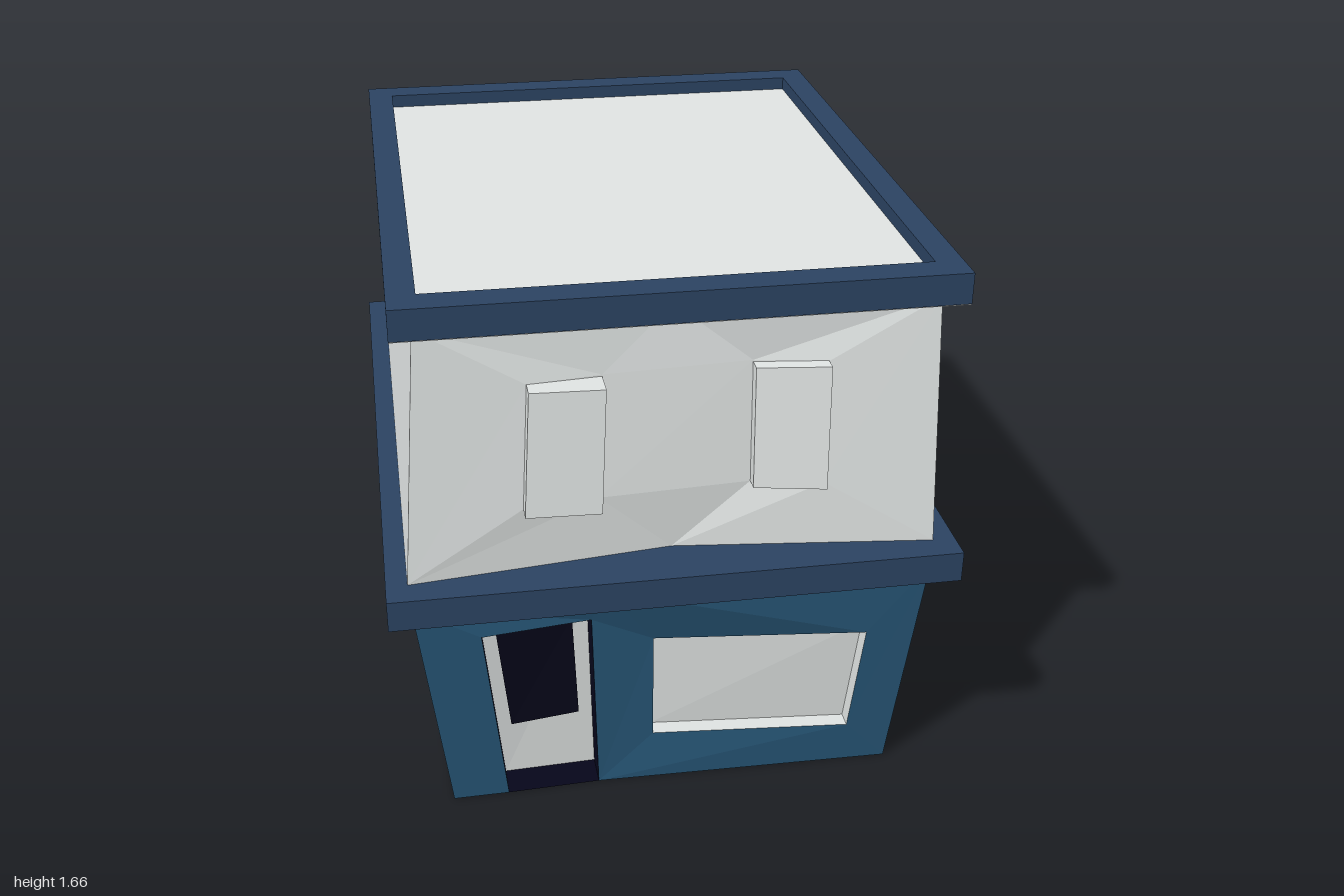
import * as THREE from 'three';

const paint = (color) => new THREE.MeshStandardMaterial({ color, flatShading: true, side: THREE.DoubleSide });

// Piecewise linear curve through [u, value] knots
function linear(knots) {
  return (u) => {
    for (let i = 1; i < knots.length; i++) {
      const [a, p] = knots[i - 1], [b, q] = knots[i];
      if (u <= b) return p + (q - p) * Math.max(0, (u - a) / (b - a));
    }
    return knots[knots.length - 1][1];
  };
}

// Maps (u, y, d) on each sloping wall to world space; u runs right, d outward.
// The front wall is its plane pressed in by dent(u, y).
function storey(y0, y1, low, high, dent) {
  const at = (side, y) => low[side] + (high[side] - low[side]) * (y - y0) / (y1 - y0);
  const plane = (u, y, d = 0) => [u, y, at('front', y) + d];
  return {
    plane,
    front: (u, y, d = 0) => plane(u, y, d - dent(u, y)),
    back: (u, y, d = 0) => [-u, y, -at('back', y) - d],
    right: (u, y, d = 0) => [at('right', y) + d, y, -u],
    left: (u, y, d = 0) => [-at('left', y) - d, y, u],
  };
}

const offset = (map, d) => (u, y) => map(u, y, d);
const vectors = (list) => list.map(([x, y]) => new THREE.Vector2(x, y));

// Polygon with optional holes, laid on a wall.
function panel(pts, map, holes = []) {
  const shape = new THREE.Shape(vectors(pts));
  holes.forEach((h) => shape.holes.push(new THREE.Path(vectors(h))));
  const geo = new THREE.ShapeGeometry(shape);
  const pos = geo.attributes.position;
  for (let i = 0; i < pos.count; i++) pos.setXYZ(i, ...map(pos.getX(i), pos.getY(i)));
  geo.computeVertexNormals();
  return geo;
}

const quad = (a, b, c, d) => [a, b, c, a, c, d];

function triangles(list) {
  const geo = new THREE.BufferGeometry();
  geo.setAttribute('position', new THREE.Float32BufferAttribute(list.flat(), 3));
  geo.computeVertexNormals();
  return geo;
}

// Band joining an outline on the wall to the same outline on another surface.
function reveal(pts, map, cap) {
  return triangles(pts.flatMap((p, i) => {
    const q = pts[(i + 1) % pts.length];
    return quad(map(...p), map(...q), cap(...q), cap(...p));
  }));
}

export function createModel() {
  const model = new THREE.Group();
  const grey = paint(0xe0e4e3), blue = paint(0x285879), navy = paint(0x2b4362), dark = paint(0x06061a);
  const add = (name, geo, mat, parent = model) => {
    const mesh = new THREE.Mesh(geo, mat);
    mesh.name = name;
    parent.add(mesh);
    return mesh;
  };
  // Recess or raised block between a wall and its cap surface
  const inset = (name, pts, map, cap, sideMat = grey) => {
    const g = new THREE.Group();
    g.name = name;
    add(name + 'Sides', reveal(pts, map, cap), sideMat, g);
    add(name + 'Face', panel(pts, cap), grey, g);
    model.add(g);
  };

  // Ground floor, flaring outward towards the top
  const lowerDent = linear([[-0.55, 0], [-0.21, 0.035], [-0.05, 0.055], [0.56, 0]]);
  const lower = storey(0, 0.75,
    { front: 0.83, back: 0.83, right: 0.68, left: 0.65 },
    { front: 0.92, back: 0.92, right: 0.74, left: 0.74 },
    (u, y) => lowerDent(u) * (0.4 + 0.9 * y));
  const door = [[-0.485, 0], [-0.21, 0], [-0.235, 0.635], [-0.55, 0.63]];
  const shopWindow = [[-0.045, 0.165], [0.55, 0.145], [0.575, 0.515], [-0.05, 0.53]];
  const sideWindows = [
    [[-0.645, 0.145], [-0.04, 0.15], [-0.045, 0.51], [-0.685, 0.515]],
    [[0.05, 0.145], [0.655, 0.145], [0.695, 0.515], [0.05, 0.515]],
  ];
  const g = lower.front;
  const [d0, d1, d2, d3] = door.map((p) => g(...p));
  const [p0, p1, p2, p3] = shopWindow.map((p) => g(...p));
  const a = g(-0.65, 0), b = g(0.68, 0), c = g(0.74, 0.75), t = g(-0.2, 0.75, 0.03), l = g(-0.74, 0.75);
  add('lowerFrontWall', triangles([
    quad(a, d0, d3, l), quad(l, d3, d2, t), quad(d1, p0, p3, d2), [d2, p3, t],
    quad(t, p3, p2, c), quad(p1, b, c, p2), quad(d1, b, p1, p0),
  ].flat()), blue);
  const sideOutline = [[-0.83, 0], [0.83, 0], [0.92, 0.75], [-0.92, 0.75]];
  add('lowerRightWall', panel(sideOutline, lower.right, sideWindows), blue);
  add('lowerLeftWall', panel(sideOutline, lower.left), blue);
  add('lowerBackWall', panel([[-0.68, 0], [0.65, 0], [0.74, 0.75], [-0.74, 0.75]], lower.back), blue);
  const baseFront = [b, d1, d0, a].map(([x, , z]) => [x, z]);
  const baseShape = new THREE.Shape(vectors([[-0.65, -0.83], [0.68, -0.83], ...baseFront]));
  add('base', new THREE.ShapeGeometry(baseShape), dark).rotation.x = Math.PI / 2;

  // Recessed windows and door
  inset('shopWindow', shopWindow, g, offset(g, -0.05));
  sideWindows.forEach((w) => inset('sideWindow', w, lower.right, offset(lower.right, -0.05)));
  inset('door', door, g, offset(g, -0.1), dark);
  add('doorGlass', panel([[-0.465, 0.2], [-0.26, 0.215], [-0.28, 0.585], [-0.505, 0.58]], offset(g, -0.092)), dark);

  // Cornice between the floors, with a grey underside
  add('middleCornice', new THREE.BoxGeometry(1.61, 0.092, 2), [navy, navy, navy, grey, navy, navy])
    .position.set(0, 0.789, 0);

  // Upper floor, leaning inward
  const upperDent = linear([[-0.745, 0], [-0.42, 0.015], [-0.2, 0.045], [0, 0.085], [0.22, 0.07], [0.42, 0.03], [0.69, 0]]);
  const upper = storey(0.835, 1.575,
    { front: 0.92, back: 0.92, right: 0.74, left: 0.745 },
    { front: 0.88, back: 0.87, right: 0.715, left: 0.69 }, upperDent);
  add('upperRightWall', panel([[-0.92, 0.835], [0.92, 0.835], [0.87, 1.575], [-0.88, 1.575]], upper.right), grey);
  add('upperLeftWall', panel([[-0.92, 0.835], [0.92, 0.835], [0.88, 1.575], [-0.87, 1.575]], upper.left), grey);
  add('upperBackWall', panel([[-0.74, 0.835], [0.745, 0.835], [0.69, 1.575], [-0.715, 1.575]], upper.back), grey);

  // Faceted front wall: strips between the bottom, sill, lintel and top rows
  const f = upper.front;
  const bl = f(-0.745, 0.835), mid = f(0, 0.835), br = f(0.74, 0.835);
  const tl = f(-0.69, 1.575), tm = f(0, 1.575, 0.02), tr = f(0.715, 1.575);
  const [s1, s2, s3, s4] = [-0.42, -0.21, 0.22, 0.42].map((x) => f(x, 1.03));
  const [h1, h2, h3, h4] = [-0.4, -0.195, 0.22, 0.42].map((x) => f(x, 1.395));
  add('upperFrontWall', triangles([
    quad(bl, mid, s2, s1), quad(mid, br, s4, s3), [mid, s3, s2],
    quad(bl, s1, h1, tl), quad(s1, s2, h2, h1), quad(s2, s3, h3, h2), quad(s3, s4, h4, h3), quad(s4, br, tr, h4),
    quad(tl, h1, h2, tm), [h2, h3, tm], quad(h3, h4, tr, tm),
  ].flat()), grey);

  // Raised upper windows
  inset('upperFrontWindow', [[-0.42, 1.03], [-0.21, 1.025], [-0.195, 1.39], [-0.4, 1.395]], f, offset(upper.plane, 0.035));
  inset('upperFrontWindow', [[0.22, 1.03], [0.42, 1.03], [0.42, 1.397], [0.22, 1.39]], f, offset(f, 0.04));
  [
    [[-0.665, 1.03], [-0.44, 1.025], [-0.43, 1.395], [-0.645, 1.4]],
    [[-0.095, 1.035], [0.1, 1.035], [0.095, 1.41], [-0.09, 1.41]],
    [[0.445, 1.025], [0.675, 1.03], [0.65, 1.4], [0.44, 1.395]],
  ].forEach((w) => inset('upperSideWindow', w, upper.right, offset(upper.right, 0.056)));

  // Roof rim, its grey underside and the sunken roof
  const rect = (x0, x1, z) => vectors([[x0, -z], [x1, -z], [x1, z], [x0, z]]);
  const rim = new THREE.Shape(rect(-0.75, 0.775, 0.94));
  rim.holes.push(new THREE.Path(rect(-0.672, 0.697, 0.848)));
  const flat = (name, geo, mat, y) => {
    const mesh = add(name, geo, mat);
    mesh.rotation.x = -Math.PI / 2;
    mesh.position.y = y;
  };
  flat('roofRim', new THREE.ExtrudeGeometry(rim, { depth: 0.088, bevelEnabled: false }), navy, 1.574);
  flat('roofUnderside', new THREE.ShapeGeometry(new THREE.Shape(rect(-0.75, 0.775, 0.94))), grey, 1.572);
  flat('roof', new THREE.ShapeGeometry(new THREE.Shape(rect(-0.68, 0.7, 0.85))), grey, 1.622);
  return model;
}
